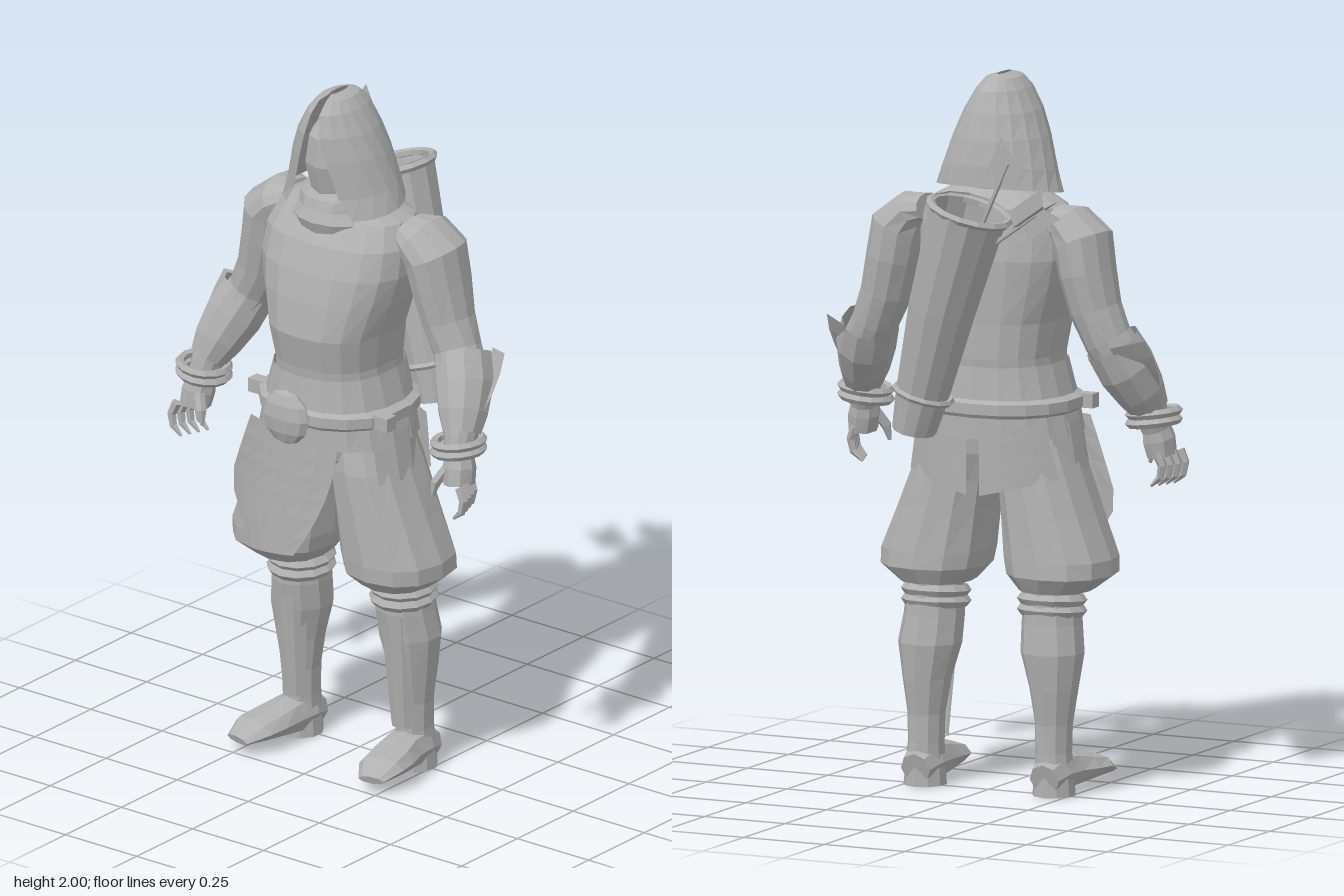
import * as THREE from 'three';

const cloth = new THREE.MeshStandardMaterial({ color: 0xb0b0b0, flatShading: true, side: THREE.DoubleSide });
cloth.name = 'plain grey';

const V = (x, y, z) => new THREE.Vector3(x, y, z);
const lerp = THREE.MathUtils.lerp;

// Grid surface from a rule f(u, v) -> Vector3
function sheet(nu, nv, f) {
  const pos = [], idx = [];
  for (let j = 0; j <= nv; j++)
    for (let i = 0; i <= nu; i++) pos.push(...f(i / nu, j / nv).toArray());
  for (let j = 0; j < nv; j++)
    for (let i = 0; i < nu; i++) {
      const a = j * (nu + 1) + i, b = a + nu + 1;
      idx.push(a, b, a + 1, a + 1, b, b + 1);
    }
  const g = new THREE.BufferGeometry();
  g.setAttribute('position', new THREE.Float32BufferAttribute(pos, 3));
  g.setIndex(idx);
  g.computeVertexNormals();
  return g;
}

// Tube of oval sections [x, y, z, rx, rz, frontGap]; sections follow the path unless flat
function loft(rings, { sides = 12, power = 2, flat = false, caps = true } = {}) {
  const c = rings.map(r => V(r[0], r[1], r[2]));
  const n = rings.length;
  const dirY = Math.sign(c[n - 1].y - c[0].y) || 1;
  const frames = c.map((p, i) => {
    const t = flat ? V(0, dirY, 0) : c[Math.min(i + 1, n - 1)].clone().sub(c[Math.max(i - 1, 0)]).normalize();
    const u = V(1, 0, 0).addScaledVector(t, -t.x).normalize();
    return [u, u.clone().cross(t)];
  });
  const rows = rings.map((r, k) => ({ c: c[k], f: frames[k], rx: r[3], rz: r[4], gap: r[5] || 0 }));
  if (caps) {
    rows.unshift({ ...rows[0], rx: 0, rz: 0 });
    rows.push({ ...rows[rows.length - 1], rx: 0, rz: 0 });
  }
  const bend = w => Math.sign(w) * Math.abs(w) ** (2 / power);
  return sheet(sides, rows.length - 1, (u, v) => {
    const r = rows[Math.round(v * (rows.length - 1))];
    const a = Math.PI / 2 + r.gap + u * (2 * Math.PI - 2 * r.gap);
    return r.c.clone().addScaledVector(r.f[0], r.rx * bend(Math.cos(a))).addScaledVector(r.f[1], r.rz * bend(Math.sin(a)));
  });
}

// Flip a geometry in x and keep its faces outward
function mirrored(g) {
  g.scale(-1, 1, 1);
  const ix = g.index.array;
  for (let i = 0; i < ix.length; i += 3) [ix[i], ix[i + 1]] = [ix[i + 1], ix[i]];
  g.computeVertexNormals();
  return g;
}

export function createModel() {
  const model = new THREE.Group();
  const add = (name, geo, parent = model) => {
    const m = new THREE.Mesh(geo, cloth);
    m.name = name;
    parent.add(m);
    return m;
  };
  const pair = (name, make) => {
    add('left ' + name, make());
    add('right ' + name, mirrored(make()));
  };

  // Torso and hips
  add('torso', loft([
    [0, 1.12, .09, .17, .165], [0, 1.22, .09, .165, .175], [0, 1.32, .1, .18, .185], [0, 1.42, .09, .212, .178],
    [0, 1.5, .08, .232, .17], [0, 1.58, .07, .23, .15], [0, 1.645, .05, .205, .125], [0, 1.69, .06, .12, .09],
  ], { sides: 18, power: 2.4, flat: true }));
  add('hips', loft([[0, .87, .08, .1, .12], [0, .95, .08, .19, .15], [0, 1.05, .085, .2, .17], [0, 1.14, .09, .18, .17]],
    { sides: 16, power: 2.3, flat: true }));

  // Head, split hood and scarf
  add('head', loft([[0, 1.64, .08, .07, .07], [0, 1.72, .1, .07, .08], [0, 1.8, .1, .085, .1], [0, 1.88, .09, .075, .1], [0, 1.94, .08, .04, .06]],
    { sides: 10, flat: true }));
  const hood = loft([
    [0, 1.69, .07, .185, .145, .7], [0, 1.75, .07, .165, .142, .5], [0, 1.83, .08, .135, .14, .35],
    [0, 1.9, .09, .105, .13, .25], [0, 1.96, .095, .07, .108, .2], [0, 1.99, .095, .045, .075, .25], [0, 2, .095, .01, .04, .3],
  ], { sides: 16, flat: true, caps: false });
  const hp = hood.attributes.position;
  for (let i = 0; i < hp.count; i++)
    if (hp.getY(i) < 1.8) hp.setY(i, hp.getY(i) - .15 * hp.getZ(i));
  add('hood', hood);
  add('scarf', loft([[0, 1.6, .08, .12, .12], [0, 1.64, .09, .135, .125], [0, 1.67, .09, .115, .11], [0, 1.7, .08, .12, .11], [0, 1.74, .08, .08, .08]],
    { sides: 14, flat: true }));

  // Belt, short skirt and round buckle
  add('skirt', loft([[0, 1.0, .09, .225, .195], [0, 1.1, .09, .2, .195], [0, 1.2, .09, .172, .183]],
    { sides: 18, power: 2.3, flat: true, caps: false }));
  add('belt', loft([[0, 1.06, .09, .21, .2], [0, 1.07, .09, .225, .207], [0, 1.1, .09, .225, .207], [0, 1.11, .09, .2, .195]],
    { sides: 18, power: 2.2, flat: true, caps: false }));
  const buckle = new THREE.SphereGeometry(.08, 10, 6);
  buckle.scale(1, 1, .4);
  add('buckle', buckle).position.set(-.005, 1.095, .325);
  pair('belt pouch', () => new THREE.BoxGeometry(.06, .04, .04).translate(.215, 1.085, .17));

  // Hanging cloth panels
  add('front cloth', sheet(6, 6, (u, v) => {
    const l = v < .6 ? lerp(-.19, -.3, v / .6) : lerp(-.3, -.17, (v - .6) / .4);
    const x = lerp(l, lerp(.13, .0, v * v), u);
    return V(x, lerp(1.03, .67, v) - .03 * v * (1 - u), .285 - 1.1 * x * x + .015 * v);
  }));
  pair('back flap', () => sheet(4, 2, (u, v) => {
    const x = lerp(.02, .2 + .03 * v, u);
    return V(x, lerp(1.04, .84, v) + .05 * v * u, -.1 + 1.4 * x * x);
  }));
  pair('side flap', () => sheet(3, 2, (u, v) => V(.22 + .025 * v - .03 * (2 * u - 1) ** 2, lerp(1.04, .9, v), lerp(.0, .19, u))));

  // Legs: baggy breeches, knee wraps, calves and pointed shoes
  pair('breeches', () => loft([
    [.1, 1.02, .08, .1, .13], [.125, .92, .08, .115, .145], [.16, .78, .075, .135, .15], [.19, .66, .07, .155, .155],
    [.195, .615, .067, .15, .155], [.185, .57, .055, .1, .115],
  ], { sides: 12, power: 2.3, flat: true }));
  for (const [i, y] of [.545, .515].entries())
    pair('knee wrap ' + (i + 1), () => new THREE.TorusGeometry(.08, .018, 5, 12).rotateX(Math.PI / 2 + .08).translate(.18, y, .032));
  pair('calf', () => loft([
    [.18, .57, .03, .08, .085], [.183, .48, .027, .085, .09], [.19, .4, .015, .09, .09], [.197, .3, .01, .068, .075],
    [.198, .2, .008, .052, .06], [.198, .12, .007, .05, .06], [.2, .06, .005, .055, .062], [.2, .0, .005, .06, .065],
  ], { sides: 10, flat: true }));
  pair('shin guard', () => sheet(4, 3, (u, v) => {
    const a = (u - .5) * 2, w = lerp(.075, .045, v);
    return V(.19 + w * Math.sin(a), lerp(.48, .13, v), .022 + lerp(.095, .055, v) * Math.cos(a));
  }));
  pair('shoe', () => loft([
    [.2, .05, -.055, .045, .045], [.2, .065, .0, .06, .063], [.205, .065, .07, .062, .055],
    [.215, .063, .13, .07, .042], [.225, .06, .19, .07, .032], [.235, .042, .25, .04, .012],
  ], { sides: 8 }));

  // Arms, bracers and bangles
  pair('arm', () => loft([
    [.2, 1.615, .025, .04, .075], [.24, 1.605, .025, .06, .098], [.283, 1.56, .02, .08, .105], [.3, 1.47, .015, .075, .1],
    [.325, 1.37, .015, .07, .085], [.36, 1.29, .02, .066, .075], [.4, 1.22, .045, .072, .078],
    [.425, 1.15, .08, .062, .068], [.445, 1.08, .115, .045, .05], [.452, 1.03, .13, .04, .045],
  ], { sides: 12 }));
  pair('bracer', () => loft([[.375, 1.28, .015, .08, .085], [.405, 1.21, .045, .083, .088], [.43, 1.14, .085, .07, .075], [.446, 1.09, .112, .052, .058]],
    { sides: 10, caps: false }));
  pair('bracer fin', () => sheet(3, 3, (u, v) => V(
    lerp(.41, .492, u) + .012 * Math.sin(v * 3), lerp(1.15, 1.28, v) + .02 * u * v, lerp(.08, -.02, v) - .05 * (1 - u))));
  for (const [i, y] of [1.075, 1.05].entries())
    pair('bangle ' + (i + 1), () => new THREE.TorusGeometry(.068, .013, 5, 14).rotateX(Math.PI / 2).rotateZ(.12).translate(.447, y, .128));

  // Hands with curled fingers
  pair('palm', () => loft([[.45, 1.05, .128, .036, .04], [.458, 1.0, .138, .046, .05], [.464, .955, .145, .04, .05]], { sides: 8 }));
  for (let i = 0; i < 4; i++) {
    const z = .105 + i * .027, x = .468 + .01 * i;
    pair('finger ' + (i + 1), () => loft([
      [x, .965, z, .015, .014], [x + .015, .93, z + .003, .013, .013], [x + .008, .895, z + .004, .011, .011], [x - .02, .87, z + .004, .004, .004],
    ], { sides: 5 }));
  }
  pair('thumb', () => loft([[.435, 1.0, .165, .016, .016], [.412, .96, .185, .015, .015], [.405, .92, .19, .005, .005]], { sides: 5 }));

  // Slanted open quiver with rim and band
  add('quiver', loft([
    [.14, 1.02, -.18, 0, 0], [.14, 1.025, -.18, .06, .07], [.115, 1.12, -.183, .073, .078],
    [.04, 1.38, -.205, .093, .1], [-.055, 1.67, -.225, .108, .12],
  ], { sides: 12, caps: false }));
  add('quiver rim', new THREE.TorusGeometry(.112, .012, 5, 14).rotateX(Math.PI / 2).rotateZ(.29).translate(-.055, 1.66, -.225));
  add('quiver band', new THREE.TorusGeometry(.08, .01, 5, 12).rotateX(Math.PI / 2).rotateZ(.29).translate(.11, 1.13, -.183));

  // Arrows: one with a flat feather, one with crossed vanes
  const vane = () => sheet(2, 2, (u, v) => V((u - .5) * .1, lerp(.02, .14, v) - .03 * (1 - Math.abs(2 * u - 1)) * v, 0));
  const arrows = [[-.135, 1.73, -.215, .42, [0]], [-.19, 1.62, -.215, .95, [0, Math.PI / 2]]];
  for (const [i, [x, y, z, tilt, turns]] of arrows.entries()) {
    const arrow = new THREE.Group();
    arrow.name = 'arrow ' + (i + 1);
    add('arrow shaft', new THREE.CylinderGeometry(.007, .007, .26, 5).translate(0, -.05, 0), arrow);
    for (const turn of turns) add('arrow feather', vane().rotateY(turn), arrow);
    arrow.position.set(x, y, z);
    arrow.rotation.z = tilt;
    model.add(arrow);
  }
  return model;
}
